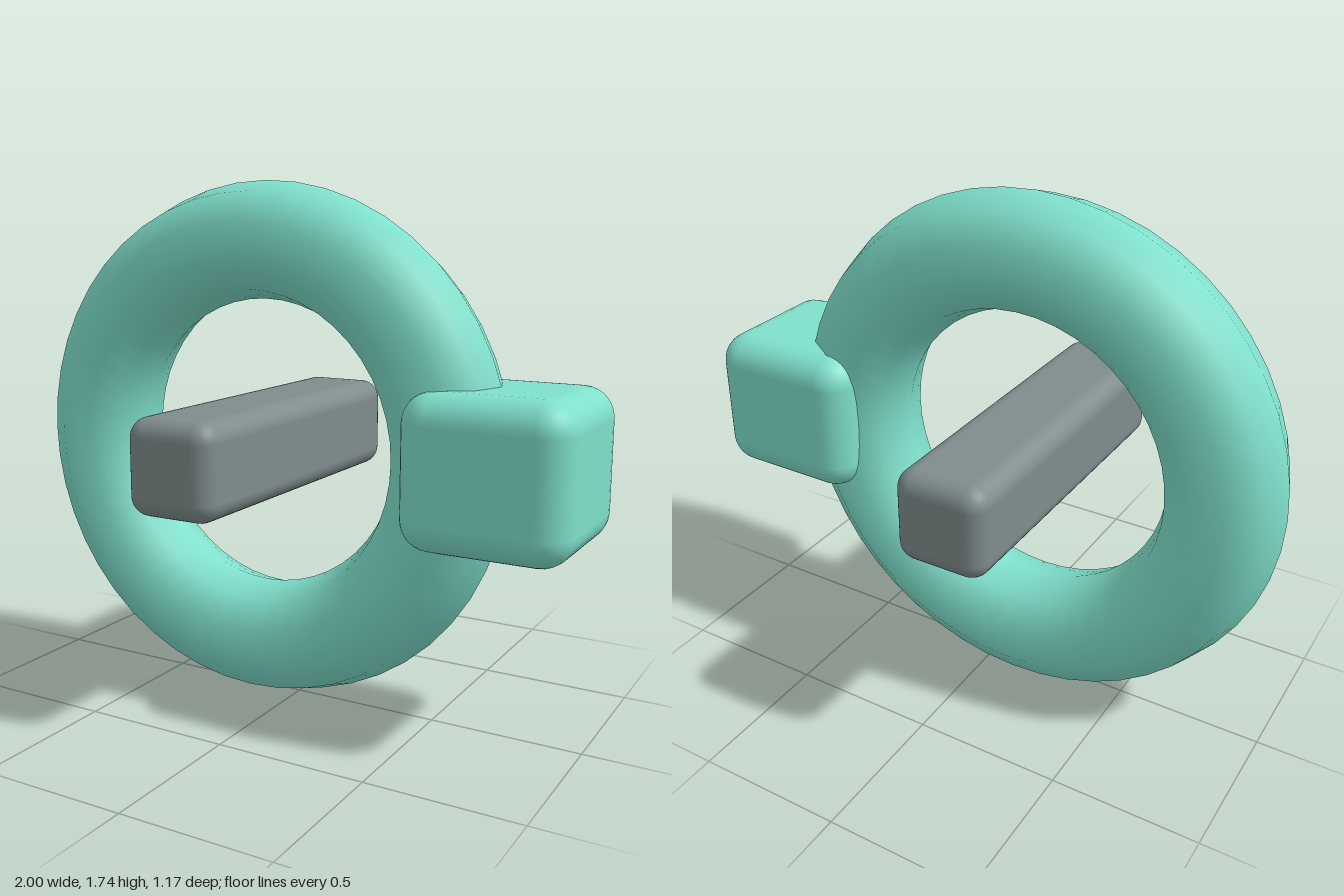
import * as THREE from 'three';
import { RoundedBoxGeometry } from 'three/addons/geometries/RoundedBoxGeometry.js';

export function createModel() {
  const model = new THREE.Group();
  model.name = 'ringWithBlocks';

  const teal = new THREE.MeshStandardMaterial({ color: 0x7fe0cc });
  teal.name = 'teal';
  const grey = new THREE.MeshStandardMaterial({ color: 0x7f8c8d });
  grey.name = 'grey';

  const add = (name, geometry, material, x, y) => {
    const mesh = new THREE.Mesh(geometry, material);
    mesh.name = name;
    mesh.position.set(x, y, 0);
    model.add(mesh);
  };

  const ringX = -0.13, centreY = 0.873;

  // Upright ring with a ten-sided tube
  add('ring', new THREE.TorusGeometry(0.6775, 0.1925, 10, 48), teal, ringX, centreY);

  // Axle bar running front to back through the ring
  add('axle', new RoundedBoxGeometry(0.312, 0.312, 1.174, 4, 0.065), grey, ringX, centreY);

  // Rounded block on the ring's left side
  add('sideBlock', new RoundedBoxGeometry(0.54, 0.492, 0.54, 4, 0.1), teal, 0.73, centreY);

  return model;
}
